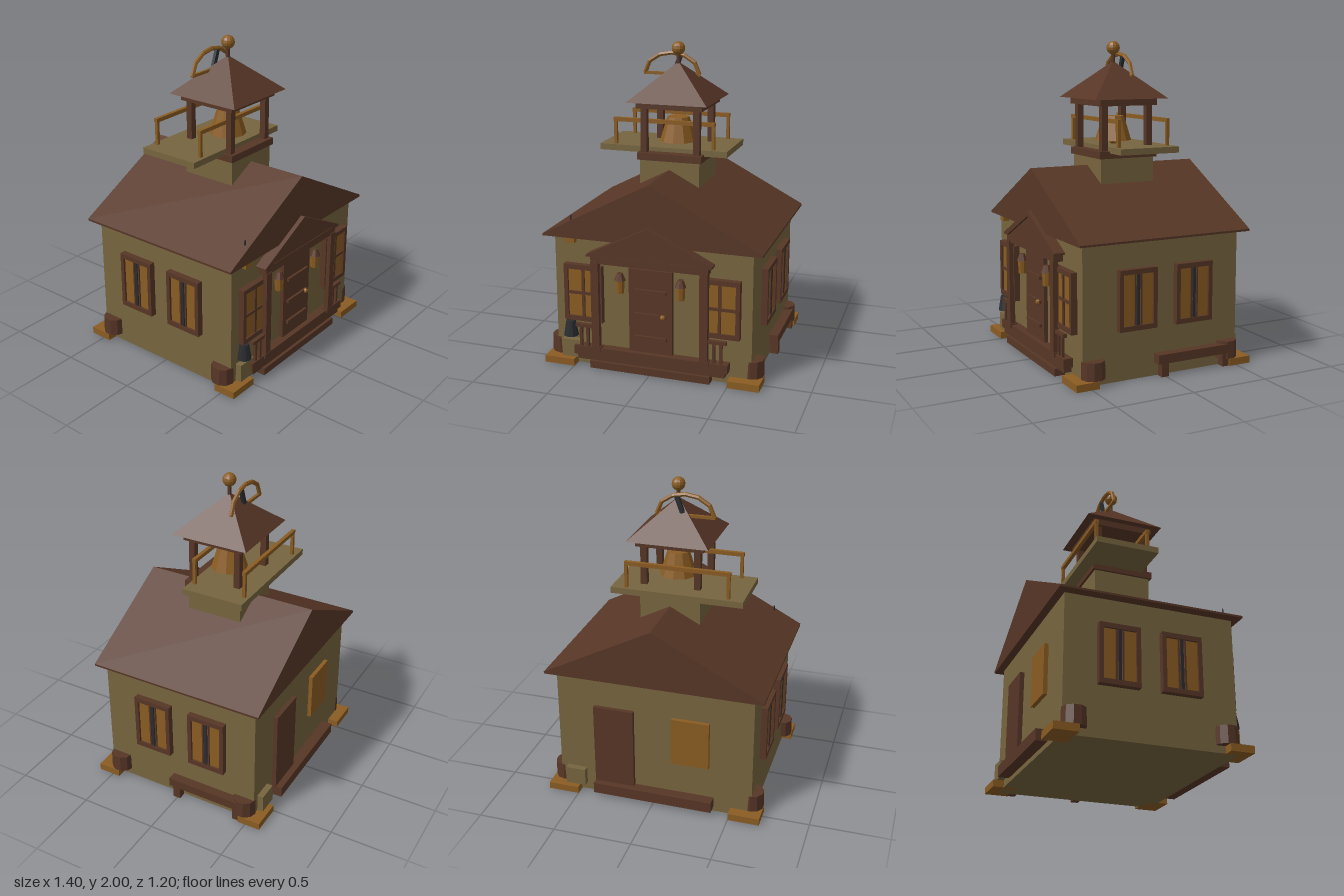
import * as THREE from 'three';

const mat = (name, color, opt = {}) => {
  const m = new THREE.MeshStandardMaterial({ color, flatShading: true, ...opt });
  m.name = name;
  return m;
};

export function createModel() {
  const g = new THREE.Group();
  g.name = 'schoolhouse';
  const wall = mat('tan plaster', 0x77653f);
  const wood = mat('brown wood', 0x573626);
  const gold = mat('gold', 0x8a5c22);
  const dark = mat('dark iron', 0x2a2c30);

  const add = (name, geo, m, x = 0, y = 0, z = 0, parent = g) => {
    const mesh = new THREE.Mesh(geo, m);
    mesh.name = name;
    mesh.position.set(x, y, z);
    parent.add(mesh);
    return mesh;
  };
  // box given by its minimum and maximum on each axis
  const box = (name, m, x0, x1, y0, y1, z0, z1, parent = g) =>
    add(name, new THREE.BoxGeometry(x1 - x0, y1 - y0, z1 - z0), m,
      (x0 + x1) / 2, (y0 + y1) / 2, (z0 + z1) / 2, parent);
  // outline in x,y extruded from z0 to z1
  const slab = (name, m, pts, z0, z1) => {
    const shape = new THREE.Shape(pts.map(p => new THREE.Vector2(...p)));
    return add(name, new THREE.ExtrudeGeometry(shape, { depth: z1 - z0, bevelEnabled: false }), m, 0, 0, z0);
  };
  const SIDES = [-1, 1];

  // House body and gable roof
  box('walls', wall, -0.635, 0.635, 0, 0.85, -0.53, 0.53);
  slab('mainRoof', wood, [[-0.7, 0.842], [0.7, 0.842], [0.7, 0.855], [0, 1.22], [-0.7, 0.855]], -0.58, 0.575);

  // Corner pads and stumps
  for (const sx of SIDES) for (const sz of SIDES) {
    add('cornerPad', new THREE.BoxGeometry(0.2, 0.045, 0.15), gold, sx * 0.6, 0.0225, sz * 0.525);
    add('cornerStump', new THREE.CylinderGeometry(0.073, 0.075, 0.11, 10), wood, sx * 0.625, 0.1, sz * 0.46);
  }
  box('frontCrate', wall, -0.59, -0.46, 0.05, 0.165, 0.5, 0.57);
  box('backCrate', wall, 0.46, 0.59, 0.05, 0.165, -0.57, -0.5);

  // Windows, built facing +z around their own centre
  const window_ = (name, x, y, z, angle, cross) => {
    const w = new THREE.Group();
    w.name = name;
    w.position.set(x, y, z);
    w.rotation.y = angle;
    g.add(w);
    for (const s of SIDES) {
      add('frameSide', new THREE.BoxGeometry(0.026, 0.37, 0.04), wood, s * 0.113, 0, 0.02, w);
      add('frameEnd', new THREE.BoxGeometry(0.2, 0.03, 0.04), wood, 0, s * 0.17, 0.02, w);
    }
    add('pane', new THREE.BoxGeometry(0.2, 0.31, 0.026), gold, 0, 0, 0.013, w);
    add('mullion', new THREE.BoxGeometry(0.018, 0.31, 0.012), cross ? wood : dark, 0, 0, 0.03, w);
    if (cross) add('crossBar', new THREE.BoxGeometry(0.2, 0.018, 0.012), wood, 0, 0, 0.03, w);
    else for (const s of SIDES)
      add('paneEdge', new THREE.BoxGeometry(0.01, 0.31, 0.01), wood, s * 0.02, 0, 0.03, w);
  };
  for (const s of SIDES) {
    window_('frontWindow', s * 0.44, 0.485, 0.53, 0, true);
    for (const z of [0.18, -0.205]) window_('sideWindow', s * 0.635, 0.493, z, s * Math.PI / 2, false);
  }
  box('backWindow', gold, -0.36, -0.12, 0.32, 0.635, -0.556, -0.53);

  // Doors
  box('frontDoor', wood, -0.14, 0.14, 0.13, 0.68, 0.53, 0.556);
  for (const y of [0.24, 0.39, 0.545]) box('doorBar', wood, -0.105, 0.105, y - 0.011, y + 0.011, 0.55, 0.572);
  add('doorKnob', new THREE.SphereGeometry(0.017, 8, 6), gold, 0.085, 0.39, 0.572);
  box('backDoor', wood, 0.13, 0.39, 0.1, 0.64, -0.558, -0.53);
  box('backStep', wood, -0.39, 0.39, 0.03, 0.1, -0.6, -0.53);

  // Porch
  box('porchFloor', wood, -0.5, 0.5, 0.083, 0.14, 0.53, 0.59);
  box('porchBase', wood, -0.48, 0.48, 0.05, 0.083, 0.53, 0.58);
  box('frontStep', wood, -0.39, 0.39, 0.005, 0.052, 0.53, 0.6);
  box('porchBeam', wood, -0.375, 0.375, 0.7, 0.75, 0.53, 0.592);
  slab('pediment', wood, [[-0.36, 0.75], [0.36, 0.75], [0, 0.93]], 0.53, 0.588);
  slab('porchRoof', wood,
    [[-0.4, 0.745], [-0.35, 0.745], [0, 0.92], [0.35, 0.745], [0.4, 0.745], [0.4, 0.757], [0, 0.957], [-0.4, 0.757]], 0.53, 0.603);
  for (const s of SIDES) {
    add('porchPost', new THREE.BoxGeometry(0.05, 0.58, 0.035), wood, s * 0.35, 0.42, 0.58);
    add('postFoot', new THREE.BoxGeometry(0.065, 0.03, 0.045), wood, s * 0.35, 0.135, 0.577);
    add('railing', new THREE.BoxGeometry(0.13, 0.022, 0.025), wood, s * 0.425, 0.278, 0.575);
    for (const x of [0.41, 0.455])
      add('baluster', new THREE.BoxGeometry(0.018, 0.14, 0.018), wood, s * x, 0.205, 0.575);
    // Wall lamps either side of the door
    add('wallLamp', new THREE.CylinderGeometry(0.03, 0.026, 0.085, 8), gold, s * 0.195, 0.56, 0.56);
    add('wallLampCap', new THREE.CylinderGeometry(0.018, 0.036, 0.045, 8), wood, s * 0.195, 0.622, 0.56);
  }

  // Bucket and hanging eave lamp
  add('bucket', new THREE.CylinderGeometry(0.03, 0.047, 0.1, 10), dark, -0.535, 0.24, 0.55);
  add('bucketHandle', new THREE.TorusGeometry(0.024, 0.006, 5, 8, Math.PI), dark, -0.535, 0.285, 0.55);
  box('eaveLamp', gold, -0.55, -0.49, 0.81, 0.842, 0.52, 0.57);
  add('eaveLampRod', new THREE.CylinderGeometry(0.005, 0.005, 0.15, 6), dark, -0.52, 0.905, 0.54);

  // Side bench
  box('benchSeat', wood, 0.635, 0.695, 0.083, 0.14, -0.475, 0.055);
  for (const z of [0.005, -0.43]) box('benchLeg', wood, 0.64, 0.69, 0, 0.085, z - 0.025, z + 0.025);

  // Bell tower
  box('towerBase', wall, -0.195, 0.195, 1.05, 1.28, -0.185, 0.185);
  box('towerLowerTrim', wood, -0.21, 0.21, 1.275, 1.32, -0.2, 0.2);
  box('balconyFloor', wall, -0.485, 0.355, 1.308, 1.347, -0.28, 0.13);
  for (const sx of SIDES) for (const sz of SIDES)
    add('towerPost', new THREE.BoxGeometry(0.04, 0.29, 0.04), wood, sx * 0.172, 1.46, sz * 0.157);
  box('towerUpperTrim', wood, -0.215, 0.215, 1.6, 1.642, -0.2, 0.2);
  const spire = new THREE.CylinderGeometry(0.004, Math.SQRT1_2, 0.23, 4);
  spire.rotateY(Math.PI / 4);
  spire.scale(0.52, 1, 0.51);
  add('towerRoof', spire, wood, 0, 1.757, 0);
  add('finialRod', new THREE.CylinderGeometry(0.013, 0.013, 0.08, 8), wood, 0, 1.9, 0);
  add('finialBall', new THREE.SphereGeometry(0.043, 12, 8), gold, 0, 1.957, 0);

  // Balcony rails
  for (const z of [-0.248, 0.097]) {
    box('balconyRail', gold, -0.4, 0.27, 1.493, 1.518, z - 0.012, z + 0.012);
    for (const x of [-0.387, 0.26]) box('balconyRailPost', gold, x - 0.01, x + 0.01, 1.34, 1.5, z - 0.01, z + 0.01);
  }

  // Bell
  add('bell', new THREE.CylinderGeometry(0.07, 0.117, 0.155, 10), gold, 0, 1.45, 0);
  add('bellClapper', new THREE.SphereGeometry(0.03, 8, 6), gold, 0, 1.375, 0);

  // Arched ornament behind the spire
  const arch = [];
  for (let i = 0; i <= 6; i++) {
    const a = Math.PI * (1 - i / 6);
    arch.push(new THREE.Vector3(-0.067 + 0.182 * Math.cos(a), 1.785 + 0.133 * Math.sin(a), -0.075));
  }
  add('arch', new THREE.TubeGeometry(new THREE.CatmullRomCurve3(arch), 6, 0.014, 6), gold);
  box('archBar', gold, -0.255, 0.12, 1.776, 1.794, -0.084, -0.066);
  add('archStrut', new THREE.BoxGeometry(0.028, 0.11, 0.02), dark, -0.03, 1.85, -0.075).rotation.z = -0.35;

  return g;
}
